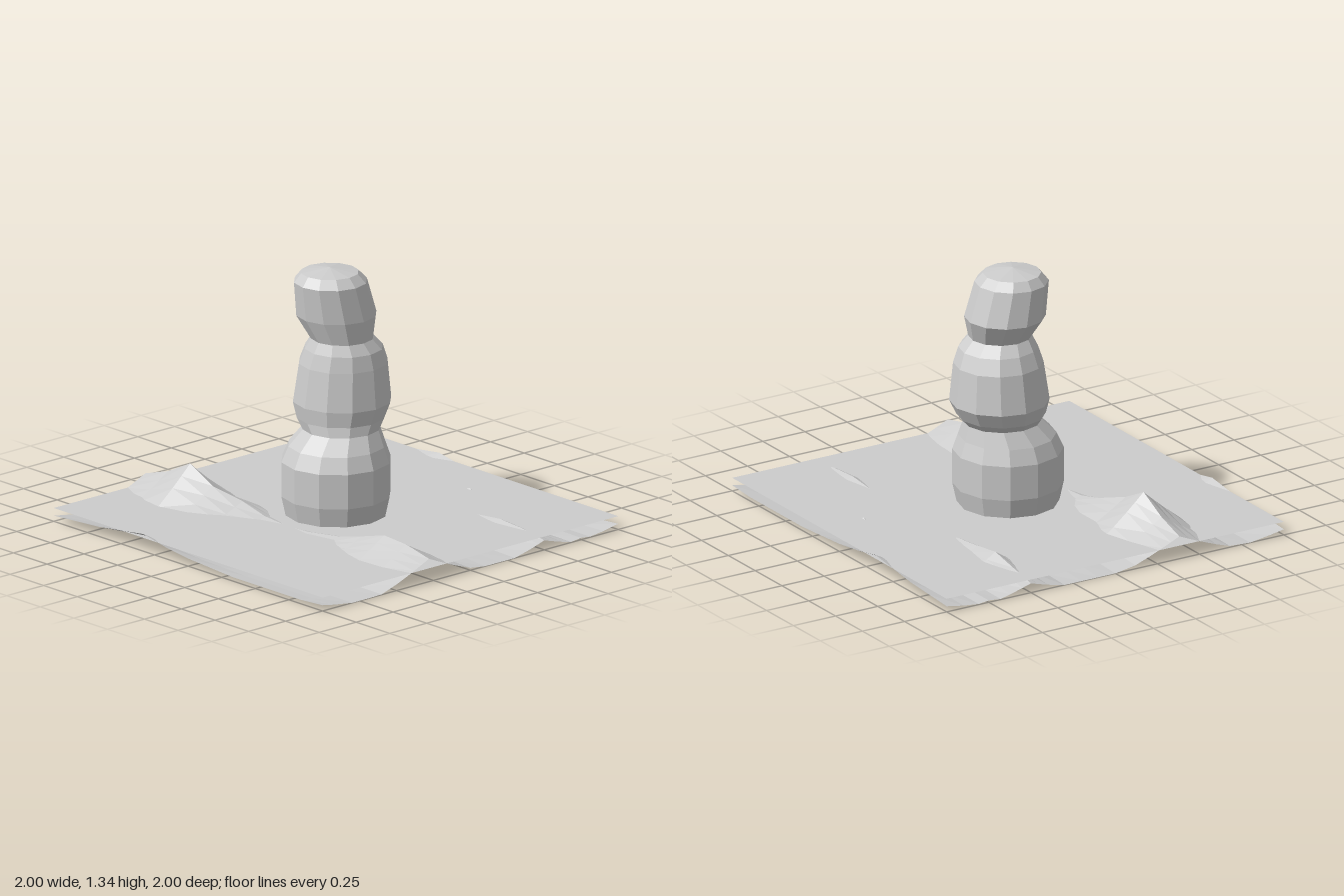
import * as THREE from 'three';

const material = new THREE.MeshStandardMaterial({
  color: 0xcccccc, flatShading: true, side: THREE.DoubleSide,
});

function addMesh(group, name, geometry) {
  const mesh = new THREE.Mesh(geometry, material);
  mesh.name = name;
  group.add(mesh);
}

function indexed(positions, indices) {
  const g = new THREE.BufferGeometry();
  g.setAttribute('position', new THREE.Float32BufferAttribute(positions, 3));
  g.setIndex(indices);
  g.computeVertexNormals();
  return g;
}

// Skin a stack of round rings, each given as [y, centreX, centreZ, radius]
function loft(rings, sides = 12) {
  const p = [], idx = [];
  for (const [y, cx, cz, r] of rings) {
    for (let i = 0; i < sides; i++) {
      const a = (i / sides) * Math.PI * 2;
      p.push(cx + r * Math.sin(a), y, cz + r * Math.cos(a));
    }
  }
  for (let j = 0; j < rings.length - 1; j++) {
    for (let i = 0; i < sides; i++) {
      const k = (i + 1) % sides;
      const a = j * sides + i, b = j * sides + k;
      idx.push(a, b, b + sides, a, b + sides, a + sides);
    }
  }
  return indexed(p, idx);
}

// Ridges running front to back: heights at 13 stations from z = -1 to z = 1
const ridges = [
  { x: () => -1, w: 0.2, h: [.03, .04, .05, .07, .09, .06, .04, .03, .02, .02, .02, .02, .03] },
  { x: () => 1, w: 0.2, h: [.03, .04, .05, .07, .09, .06, .04, .03, .02, .02, .02, .02, .03] },
  { x: (z) => (z < -0.4 ? -0.38 : z < 0.3 ? -0.33 : -0.28), w: 0.33,
    h: [.12, .17, .25, .17, .12, .08, .068, .075, .08, .12, .165, .155, .12] },
  { x: () => 0.1, w: 0.4, h: [.0, .01, .01, .02, .03, .04, .04, .04, .03, .02, .01, .01, .0] },
  { x: () => 0.5, w: 0.2, h: [.05, .08, .112, .09, .075, .05, .04, .04, .05, .07, .085, .075, .05] },
  { x: () => 0.75, w: 0.1, h: [.01, .01, .02, .02, .02, .02, .03, .075, .03, .02, .02, .01, .01] },
];

function terrain() {
  const xs = [-1, -.92, -.8, -.68, -.6, -.5, -.44, -.38, -.33, -.28, -.2, -.12, 0, .1,
    .2, .3, .4, .46, .5, .55, .62, .68, .75, .81, .9, 1];
  const rows = 13, n = xs.length, p = [], idx = [];
  for (let j = 0; j < rows; j++) {
    const z = -1 + j / 6;
    for (const x of xs) {
      let y = 0;
      for (const r of ridges) {
        const t = Math.max(0, 1 - Math.abs(x - r.x(z)) / r.w);
        y = Math.max(y, r.h[j] * Math.pow(t, 1.2));
      }
      p.push(x, y, z);
    }
  }
  for (let j = 0; j < rows - 1; j++) {
    for (let i = 0; i < n - 1; i++) {
      const a = j * n + i, b = a + n;
      idx.push(a, b, b + 1, a, b + 1, a + 1);
    }
  }
  return indexed(p, idx);
}

export function createModel() {
  const model = new THREE.Group();
  model.name = 'stackedFigureOnGround';

  // Uneven ground with a level sheet lying through it
  addMesh(model, 'unevenGround', terrain());
  const sheet = new THREE.PlaneGeometry(2, 2).rotateX(-Math.PI / 2).translate(0, 0.07, 0);
  addMesh(model, 'levelSheet', sheet);

  // Three leaning, stacked rounded lumps
  const neckLow = [0.51, 0.035, 0, 0.197];
  const neckHigh = [0.975, 0.06, -0.02, 0.16];
  addMesh(model, 'bottomLump', loft([
    [0.01, 0, 0, 0],
    [0.01, 0, 0, 0.245],
    [0.17, 0, 0, 0.28],
    [0.35, 0, 0, 0.28],
    [0.43, 0.005, 0, 0.248],
    neckLow,
  ]));
  addMesh(model, 'middleLump', loft([
    neckLow,
    [0.56, 0.06, -0.03, 0.225],
    [0.64, 0.077, -0.04, 0.252],
    [0.84, 0.08, -0.035, 0.227],
    [0.92, 0.075, -0.025, 0.2],
    neckHigh,
  ]));
  addMesh(model, 'topLump', loft([
    neckHigh,
    [1.09, 0.055, -0.058, 0.205],
    [1.27, 0.017, -0.06, 0.187],
    [1.315, 0.017, -0.065, 0.147],
    [1.34, 0.012, -0.06, 0],
  ]));
  return model;
}
